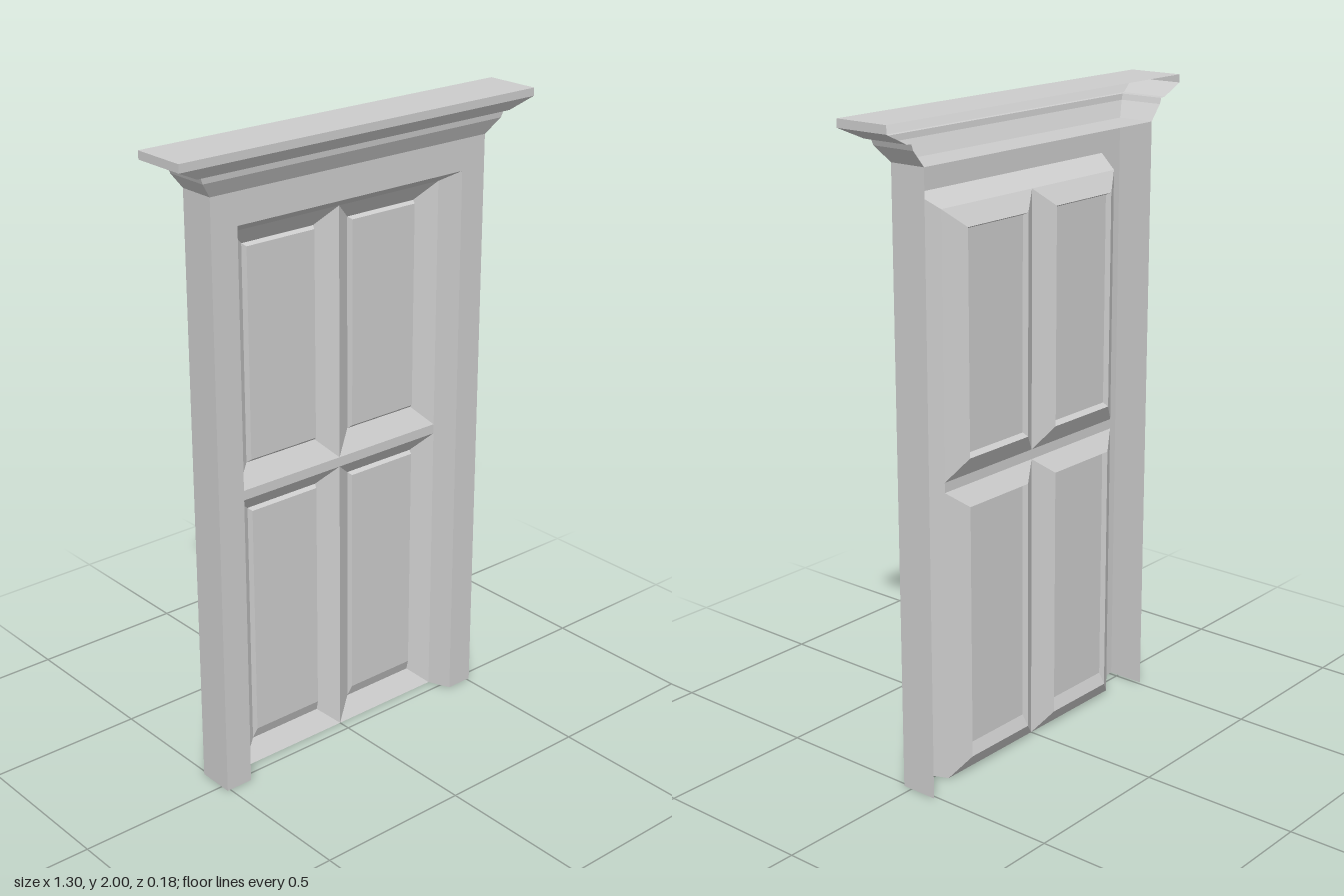
import * as THREE from 'three';

const material = new THREE.MeshStandardMaterial({
  color: 0xcccccc, flatShading: true, side: THREE.DoubleSide,
});

// Skins a row of cross-sections, each a list of [x, y, z] corners.
function loft(name, rings, closed = false) {
  const positions = [];
  for (let r = 0; r < rings.length - 1; r++) {
    const n = rings[r].length;
    for (let i = 0; i < (closed ? n : n - 1); i++) {
      const j = (i + 1) % n;
      const [a, b, c, d] = [rings[r][i], rings[r][j], rings[r + 1][j], rings[r + 1][i]];
      positions.push(...a, ...b, ...c, ...a, ...c, ...d);
    }
  }
  const geometry = new THREE.BufferGeometry();
  geometry.setAttribute('position', new THREE.Float32BufferAttribute(positions, 3));
  geometry.computeVertexNormals();
  const mesh = new THREE.Mesh(geometry, material);
  mesh.name = name;
  return mesh;
}

const BACK = -0.09, FACE = 0.03, DOOR = -0.04, GROOVE = -0.08, PANEL = -0.065;

// Outline of a doorway: up one side, across the head, down the other.
const archway = (x, y, z) => [[x, 0, z], [x, y, z], [-x, y, z], [-x, 0, z]];

// Three-sided course of the cornice, open at the back.
const course = (x, y, z) => [[-x, y, BACK], [-x, y, z], [x, y, z], [x, y, BACK]];

const rect = (x0, x1, y0, y1, z) => [[x0, y0, z], [x1, y0, z], [x1, y1, z], [x0, y1, z]];

// Splayed rails around a groove with a raised field in the middle.
function doorPanel(name, side, y0, y1, p0, p1, bottomLip) {
  const cx = side * 0.195, lip = 0.007;
  const field = rect(cx - 0.13 + lip, cx + 0.13 - lip, p0 + bottomLip, p1 - lip, PANEL);
  const group = new THREE.Group();
  group.name = name;
  group.add(
    loft('panelMoulding', [
      rect(cx - 0.195, cx + 0.195, y0, y1, DOOR),
      rect(cx - 0.13, cx + 0.13, p0, p1, GROOVE),
      field,
    ], true),
    loft('panelField', [[field[0], field[1]], [field[3], field[2]]]),
  );
  return group;
}

export function createModel() {
  const model = new THREE.Group();
  model.name = 'panelledDoor';

  // Casing: outer sides, front face and splayed reveal
  model.add(loft('doorCasing', [
    archway(0.51, 1.872, BACK),
    archway(0.51, 1.872, FACE),
    archway(0.42, 1.775, FACE),
    archway(0.39, 1.735, DOOR),
  ]));

  // Cornice mouldings, from the casing up to the top slab
  model.add(loft('cornice', [
    course(0.51, 1.872, FACE),
    course(0.55, 1.92, 0.055),
    course(0.557, 1.938, 0.057),
    course(0.575, 1.94, 0.065),
    course(0.65, 1.975, 0.09),
    course(0.65, 2, 0.09),
  ]));
  model.add(loft('corniceTop', [
    [[-0.65, 2, 0.09], [0.65, 2, 0.09]],
    [[-0.65, 2, BACK], [0.65, 2, BACK]],
  ]));

  // Four door panels and the flat strip of the middle rail
  for (const side of [-1, 1]) {
    const hand = side > 0 ? 'left' : 'right';
    model.add(doorPanel(hand + 'UpperPanel', side, 0.943, 1.735, 1.008, 1.68, 0.012));
    model.add(doorPanel(hand + 'LowerPanel', side, 0, 0.912, 0.06, 0.86, 0.038));
  }
  model.add(loft('middleRail', [
    [[-0.39, 0.912, DOOR], [0.39, 0.912, DOOR]],
    [[-0.39, 0.943, DOOR], [0.39, 0.943, DOOR]],
  ]));
  return model;
}
